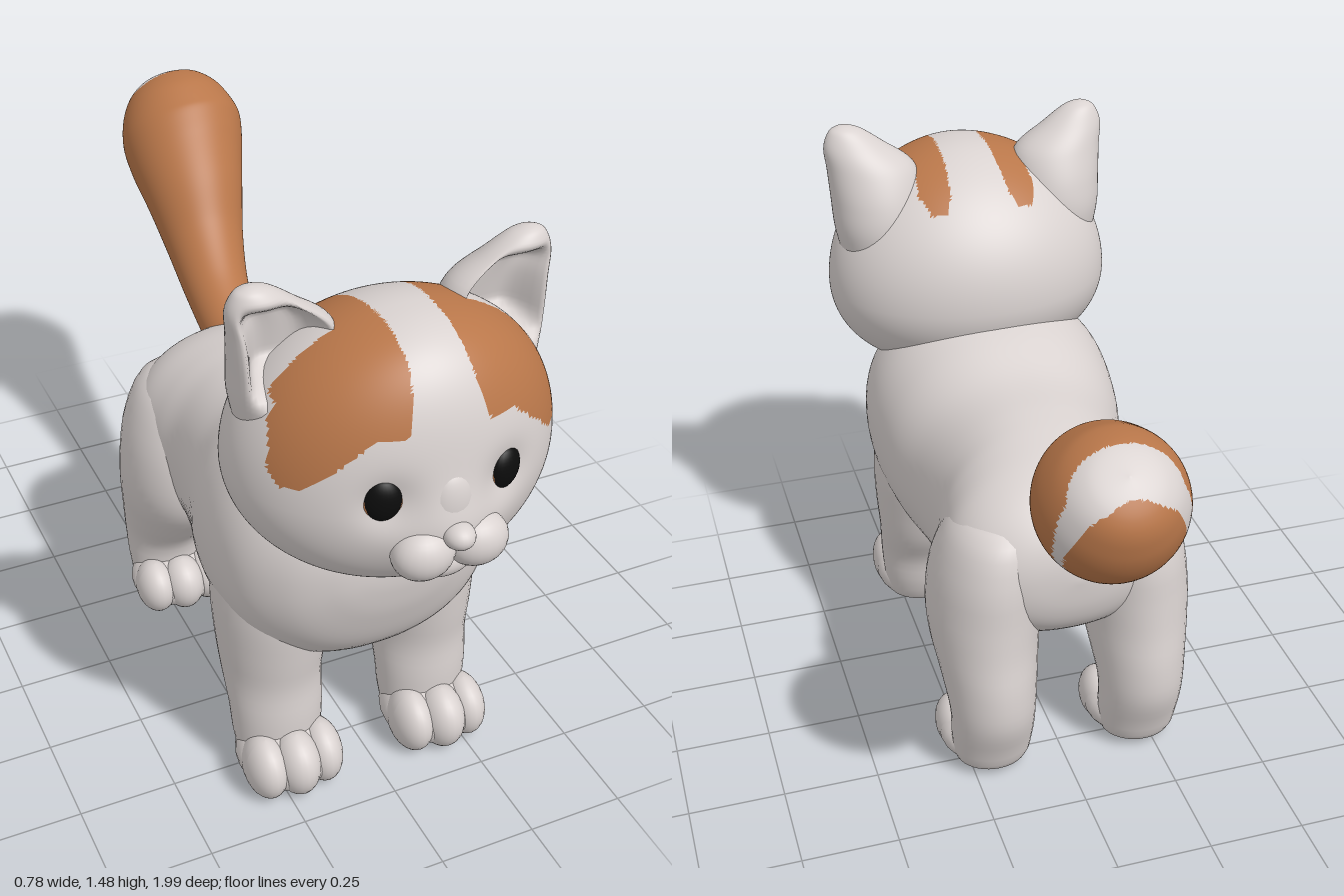
import * as THREE from 'three';
import { mergeVertices } from 'three/addons/utils/BufferGeometryUtils.js';

const fur = new THREE.MeshStandardMaterial({ color: 0xd9d2d0 });
fur.name = 'paleFur';
const ginger = new THREE.MeshStandardMaterial({ color: 0xb9774a });
ginger.name = 'gingerFur';
const black = new THREE.MeshStandardMaterial({ color: 0x0c0c0c });
black.name = 'pupilBlack';

const { smoothstep, lerp } = THREE.MathUtils;

// Smooth interpolation through rows of numbers, t in 0..1
function spline(rows) {
  return (t) => {
    const n = rows.length - 1;
    const i = Math.min(Math.floor(t * n), n - 1);
    const f = t * n - i;
    const row = (k) => rows[Math.max(0, Math.min(n, k))];
    return rows[0].map((_, c) => {
      const [a, b, d, e] = [row(i - 1)[c], row(i)[c], row(i + 1)[c], row(i + 2)[c]];
      return b + 0.5 * f * (d - a + f * (2 * a - 5 * b + 4 * d - e + f * (3 * (b - d) + e - a)));
    });
  };
}

// Closed skin: fn(angle, t) gives a point; optional isGinger(x, y, z) paints faces
function skin(nu, nv, fn, isGinger) {
  const pos = [];
  const faces = [[], []];
  for (let j = 0; j <= nv; j++) {
    for (let i = 0; i < nu; i++) pos.push(...fn((i / nu) * Math.PI * 2, j / nv));
  }
  const add = (...tri) => {
    const mid = [0, 1, 2].map((k) => tri.reduce((sum, v) => sum + pos[v * 3 + k], 0) / 3);
    faces[isGinger && isGinger(...mid) ? 1 : 0].push(...tri);
  };
  for (let j = 0; j < nv; j++) {
    for (let i = 0; i < nu; i++) {
      const a = j * nu + i;
      const b = j * nu + ((i + 1) % nu);
      add(a, b, b + nu);
      add(a, b + nu, a + nu);
    }
  }
  let geo = new THREE.BufferGeometry();
  geo.setAttribute('position', new THREE.Float32BufferAttribute(pos, 3));
  geo.setIndex([...faces[0], ...faces[1]]);
  geo = mergeVertices(geo, 1e-5);
  geo.computeVertexNormals();
  if (isGinger) {
    geo.clearGroups();
    geo.addGroup(0, faces[0].length, 0);
    geo.addGroup(faces[0].length, faces[1].length, 1);
  }
  return geo;
}

// Upright loft through rows of [y, centre x, centre z, radius x, radius z]
function column(rows) {
  const at = spline(rows);
  return skin(40, 32, (a, t) => {
    const [y, cx, cz, rx, rz] = at(t);
    return [cx + Math.max(0, rx) * Math.cos(a), y, cz - Math.max(0, rz) * Math.sin(a)];
  });
}

function part(parent, name, geo, material) {
  const mesh = new THREE.Mesh(geo, material);
  mesh.name = name;
  parent.add(mesh);
}

// Ellipsoid, cut flat at the ground when floor is set
function ball(parent, name, centre, radii, material = fur, floor = false) {
  const geo = new THREE.SphereGeometry(1, 24, 18).scale(...radii).translate(...centre);
  if (floor) {
    const p = geo.attributes.position;
    for (let i = 0; i < p.count; i++) p.setY(i, Math.max(0, p.getY(i)));
    geo.computeVertexNormals();
  }
  part(parent, name, geo, material);
}

function inside(poly, x, y) {
  let hit = false;
  poly.forEach(([x1, y1], i) => {
    const [x2, y2] = poly[(i + 1) % poly.length];
    if (y1 > y !== y2 > y && x < x1 + ((y - y1) / (y2 - y1)) * (x2 - x1)) hit = !hit;
  });
  return hit;
}

// Marking outlines: brow in |x|,y; crown stripe in |x|,z; tail band in z,y
const brow = [[.06, 1.45], [.068, 1.33], [.085, 1.23], [.1, 1.2], [.16, 1.205], [.2, 1.17], [.25, 1.125],
  [.3, 1.08], [.335, 1.072], [.348, 1.11], [.33, 1.2], [.31, 1.23], [.31, 1.45]];
const crown = [[.065, .72], [.07, .55], [.08, .46], [.1, .43], [.14, .44], [.16, .5], [.15, .58], [.16, .72]];
const band = [[-.84, 1.36], [-.87, 1.28], [-.905, 1.22], [-.89, 1.12], [-.83, 1], [-.86, 1.02],
  [-.93, 1.13], [-.965, 1.22], [-.95, 1.28], [-.92, 1.36]];

function makeHead() {
  const head = new THREE.Group();
  head.name = 'head';
  const bump = (x, y, cx, cy, w, h) => Math.exp(-(((x - cx) / w) ** 2) - ((y - cy) / h) ** 2);
  const skull = skin(180, 120, (a, t) => {
    const lat = (t - 0.5) * Math.PI;
    const s = Math.sin(lat);
    const c = Math.max(0, Math.cos(lat));
    const up = s > 0;
    const x = 0.39 * Math.pow(c, up ? 1 : 0.87) * Math.cos(a);
    const y = 1.02 + (up ? 0.365 : 0.275) * s;
    const d = -Math.sin(a);
    let z = 0.62 + 0.05 * s * s + 0.31 * Math.pow(c, d > 0 ? 0.82 : 0.95) * d;
    // muzzle mound and eye sockets
    if (d > 0) z += d * (0.035 * bump(x, y, 0, 0.95, 0.12, 0.1) - 0.025 * bump(Math.abs(x), y, 0.14, 1.05, 0.06, 0.06));
    return [x, y, z];
  }, (x, y, z) => (z > 0.66 && inside(brow, Math.abs(x), y)) || (y > 1.15 && inside(crown, Math.abs(x), z)));
  part(head, 'skull', skull, [fur, ginger]);

  ball(head, 'noseBridge', [0, 1.02, 0.915], [0.055, 0.09, 0.035]);
  ball(head, 'nose', [0, 0.972, 0.96], [0.036, 0.03, 0.04]);
  ball(head, 'chin', [0, 0.87, 0.9], [0.07, 0.042, 0.045]);

  const earRows = spline([[1.1, .25, .6, .1, .11], [1.2, .25, .6, .12, .125], [1.28, .25, .607, .125, .12],
    [1.36, .262, .613, .118, .093], [1.42, .302, .617, .083, .06], [1.46, .322, .62, .048, .036],
    [1.474, .328, .622, .022, .018], [1.478, .33, .622, 0, 0]]);
  for (const s of [1, -1]) {
    const side = s > 0 ? 'left' : 'right';
    ball(head, side + 'WhiskerPad', [s * 0.065, 0.922, 0.925], [0.074, 0.064, 0.06]);

    // hollow-fronted ear
    part(head, side + 'Ear', skin(56, 44, (a, t) => {
      const [y, cx, cz, rx, rz] = earRows(t);
      const f = -Math.sin(a * s);
      const hollow = smoothstep(y, 1.2, 1.28) * (1 - smoothstep(y, 1.39, 1.45));
      const depth = f - 1.25 * hollow * smoothstep(f, 0.5, 1);
      return [s * (cx + Math.max(0, rx) * Math.cos(a)), y, cz + Math.max(0, rz) * depth];
    }), fur);

    const eye = new THREE.Group();
    eye.name = side + 'Eye';
    eye.position.set(s * 0.142, 1.05, 0.862);
    eye.rotation.y = s * 0.35;
    ball(eye, 'iris', [0, 0, 0], [0.062, 0.057, 0.042], ginger);
    ball(eye, 'pupil', [-s * 0.003, 0.008, 0.022], [0.043, 0.053, 0.027], black);
    head.add(eye);
  }
  return head;
}

function makeTail() {
  // rows of [x, y, z, radius], root to tip
  const at = spline([[0, .78, -.2, .07], [0, .795, -.29, .078], [.012, .85, -.42, .09], [.03, .935, -.55, .112],
    [.045, 1.035, -.66, .142], [.06, 1.1, -.75, .166], [.07, 1.155, -.82, .172], [.072, 1.22, -.88, .14],
    [.074, 1.262, -.915, .085], [.074, 1.28, -.93, 0]]);
  const across = new THREE.Vector3(1, 0, 0);
  const geo = skin(96, 110, (a, t) => {
    const [x, y, z, r] = at(t);
    const p = at(Math.max(0, t - 0.02));
    const q = at(Math.min(1, t + 0.02));
    const n = new THREE.Vector3(0, q[1] - p[1], q[2] - p[2]).normalize().cross(across);
    const [c, s] = [Math.max(0, r) * Math.cos(a), Math.max(0, r) * Math.sin(a)];
    return [x + c, y + n.y * s, z + n.z * s];
  }, (x, y, z) => !inside(band, z, y));
  const tail = new THREE.Group();
  tail.name = 'tail';
  part(tail, 'tailFur', geo, [fur, ginger]);
  return tail;
}

function makePaw(parent, name, x, z, size) {
  const paw = new THREE.Group();
  paw.name = name;
  paw.position.set(x, 0, z);
  paw.scale.set(1, size, size);
  ball(paw, 'pad', [0, 0.075, -0.01], [0.127, 0.09, 0.13], fur, true);
  ball(paw, 'middleToe', [0, 0.085, 0.055], [0.06, 0.088, 0.085], fur, true);
  for (const s of [1, -1]) ball(paw, 'sideToe', [s * 0.075, 0.08, 0.035], [0.054, 0.085, 0.085], fur, true);
  parent.add(paw);
}

export function createModel() {
  const cat = new THREE.Group();
  cat.name = 'cat';
  const body = new THREE.Group();
  body.name = 'body';
  body.position.x = -0.015;
  cat.add(body);

  // torso sections: [z, top, bottom, half width], rear to chest
  const torso = spline([[-.385, .62, .62, 0], [-.375, .69, .53, .12], [-.345, .755, .46, .2], [-.28, .82, .4, .27],
    [-.2, .86, .35, .3], [-.1, .885, .305, .29], [0, .9, .29, .275], [.15, .915, .29, .295], [.3, .97, .29, .335],
    [.45, 1, .305, .35], [.58, .97, .365, .33], [.68, .92, .46, .26], [.735, .85, .58, .17], [.757, .78, .67, .09],
    [.762, .73, .73, 0]]);
  const round = (v) => Math.sign(v) * Math.pow(Math.abs(v), 0.92);
  part(body, 'torso', skin(72, 84, (a, t) => {
    const [z, top, bottom, w] = torso(t);
    return [Math.max(0, w) * round(Math.cos(a)), lerp(bottom, top, 0.5 + 0.5 * round(Math.sin(a))), z];
  }), fur);

  // legs, widening into the shoulders and haunches
  const frontRows = [[.01, 0, .53, 0, 0], [.02, 0, .53, .09, .08], [.1, 0, .51, .112, .1], [.2, 0, .5, .12, .112],
    [.3, 0, .47, .126, .138], [.4, -.003, .46, .137, .16], [.52, -.01, .45, .146, .18], [.64, -.025, .45, .14, .17],
    [.73, -.05, .45, .1, .12], [.77, -.06, .45, 0, 0]];
  const hindRows = [[.01, 0, -.26, 0, 0], [.02, 0, -.26, .09, .08], [.1, 0, -.275, .108, .1], [.2, 0, -.285, .112, .125],
    [.3, 0, -.245, .125, .166], [.4, 0, -.2, .14, .195], [.5, -.005, -.185, .146, .2], [.62, -.015, -.19, .135, .185],
    [.73, -.035, -.2, .1, .13], [.78, -.05, -.2, 0, 0]];
  for (const s of [1, -1]) {
    const side = s > 0 ? 'left' : 'right';
    const place = (rows) => rows.map(([y, x, ...rest]) => [y, s * (0.205 + x), ...rest]);
    part(body, side + 'FrontLeg', column(place(frontRows)), fur);
    part(body, side + 'HindLeg', column(place(hindRows)), fur);
    makePaw(body, side + 'FrontPaw', s * 0.205, 0.57, 1);
    makePaw(body, side + 'HindPaw', s * 0.205, -0.205, 0.9);
  }

  cat.add(makeHead(), makeTail());
  return cat;
}
